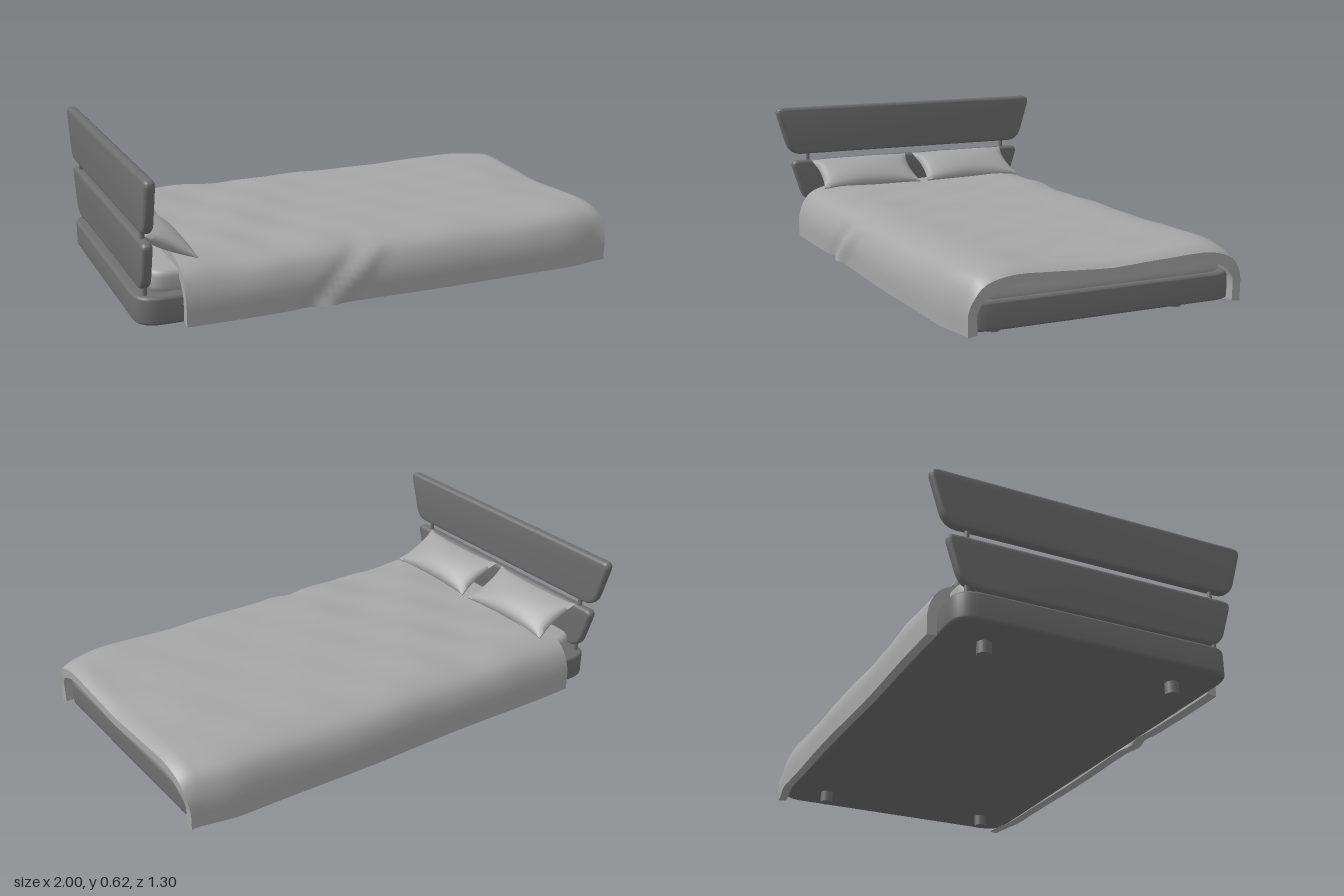
import * as THREE from 'three';
import { toCreasedNormals } from 'three/addons/utils/BufferGeometryUtils.js';

const wood = new THREE.MeshStandardMaterial({ color: 0x6e6e6e });
wood.name = 'dark frame';
const fabric = new THREE.MeshStandardMaterial({ color: 0xa6a6a6 });
fabric.name = 'light fabric';

function addMesh(group, name, geometry, material) {
  const mesh = new THREE.Mesh(geometry, material);
  mesh.name = name;
  group.add(mesh);
  return mesh;
}

// Closed outline with every corner rounded; each corner is [x, y, radius]
function roundedShape(corners) {
  const shape = new THREE.Shape();
  const n = corners.length;
  corners.forEach(([x, y, r], i) => {
    const toward = ([tx, ty]) => {
      const d = Math.hypot(tx - x, ty - y);
      return [x + ((tx - x) * r) / d, y + ((ty - y) * r) / d];
    };
    const a = toward(corners[(i + n - 1) % n]);
    const b = toward(corners[(i + 1) % n]);
    if (i === 0) shape.moveTo(...a);
    else shape.lineTo(...a);
    shape.quadraticCurveTo(x, y, ...b);
  });
  shape.closePath();
  return shape;
}

// Slab with softened edges, from z = 0 to z = thickness
function slab(corners, thickness, bevel) {
  const geo = new THREE.ExtrudeGeometry(roundedShape(corners), {
    depth: thickness - 2 * bevel, bevelSize: bevel, bevelThickness: bevel,
    bevelOffset: -bevel, bevelSegments: 4, curveSegments: 10,
  });
  geo.translate(0, 0, bevel);
  return toCreasedNormals(geo, 0.7);
}

// Horizontal slab between two x values, with its underside at y
function flatSlab(x0, x1, halfZ, y, height, radius, bevel) {
  const geo = slab([[x0, -halfZ, radius], [x1, -halfZ, radius], [x1, halfZ, radius], [x0, halfZ, radius]], height, bevel);
  return geo.rotateX(-Math.PI / 2).translate(0, y, 0);
}

// Upright headboard panel, wider at the top
function panel(y0, y1, bottom, top) {
  const geo = slab([[-bottom, y0, 0.06], [bottom, y0, 0.06], [top, y1, 0.04], [-top, y1, 0.04]], 0.04, 0.014);
  return geo.rotateY(Math.PI / 2).translate(-0.98, 0, 0);
}

// Smooth curve through [position, value] pairs
const profile = (points) => new THREE.CatmullRomCurve3(points.map(([a, b]) => new THREE.Vector3(a, b, 0)), false, 'centripetal');
const bump = (d, width) => Math.exp(-((d / width) ** 2));

// Draped cover: a thick arched section swept from head to foot
function coverGeometry() {
  const outer = profile([[0, 0.265], [0.25, 0.265], [0.45, 0.263], [0.545, 0.228], [0.588, 0.15], [0.593, 0.042]]);
  const inner = profile([[0, 0.228], [0.25, 0.23], [0.43, 0.23], [0.51, 0.2], [0.552, 0.14], [0.555, 0.046]]);
  const half = 20, n = 2 * half, ring = 2 * (n + 1), steps = 90;
  const section = [];
  for (const [curve, dir] of [[outer, 1], [inner, -1]]) {
    for (let j = -half; j <= half; j++) {
      const p = curve.getPoint(Math.abs(j) / half);
      section.push([-Math.sign(j) * dir * p.x, p.y]);
    }
  }
  const pos = [], index = [];
  for (let i = 0; i <= steps; i++) {
    const t = i / steps;
    const x = -0.83 + 1.83 * (1 - (1 - t) ** 1.25);
    const end = THREE.MathUtils.smoothstep(x, 0.7, 1);
    const edgeDrop = 0.02 * Math.max(0, (x - 0.94) / 0.06) ** 2;
    for (const [sz, sy] of section) {
      const upper = THREE.MathUtils.smoothstep(sy, 0.1, 0.22);
      const across = Math.abs(sz) / 0.6;
      // Raised corners near the foot, a soft hollow in the middle
      let y = sy + upper * (0.014 * bump(x - 0.78, 0.2) * across - 0.012 * end * (1 - across) - edgeDrop);
      // Gentle wrinkles, stronger near the head
      const strength = 0.0018 + 0.0025 * bump(x + 0.5, 0.4);
      y += upper * strength * (Math.sin(11 * x + 9 * sz) + Math.sin(23 * x - 13 * sz + 1) * 0.6);
      let z = sz * (1 - 0.06 * end * end + 0.006 * Math.sin(7 * x));
      // Diagonal fold on the left side
      if (sz > 0.4) {
        const d = x + 0.05 + (0.24 - sy) * 1.1;
        z += 0.014 * (bump(d, 0.045) - 0.7 * bump(d + 0.09, 0.04)) * (sy < 0.25 ? 1 : 0.4);
      }
      pos.push(x - 0.012 * end * (1 - upper), y, z);
    }
  }
  for (let i = 0; i < steps; i++) {
    for (let j = 0; j < ring; j++) {
      const a = i * ring + j, b = i * ring + ((j + 1) % ring);
      index.push(a, a + ring, b, b, a + ring, b + ring);
    }
  }
  // Hems closing the head and foot ends
  const last = steps * ring;
  for (let j = 0; j < n; j++) {
    const o = j, o2 = j + 1, k = ring - 1 - j, k2 = ring - 2 - j;
    index.push(o, o2, k, k, o2, k2);
    index.push(last + o, last + k, last + o2, last + k, last + k2, last + o2);
  }
  const geo = new THREE.BufferGeometry();
  geo.setAttribute('position', new THREE.Float32BufferAttribute(pos, 3));
  geo.setIndex(index);
  return toCreasedNormals(geo, 0.8);
}

// Plump cushion with pulled-in edges and pointed corners
function pillowGeometry() {
  const geo = new THREE.BoxGeometry(2, 2, 2, 20, 1, 28);
  const p = geo.attributes.position;
  for (let i = 0; i < p.count; i++) {
    const u = p.getX(i), v = p.getZ(i), side = p.getY(i);
    const fill = Math.max(0, (1 - u * u) * (1 - v * v));
    const h = 0.003 + 0.042 * fill ** 0.55;
    p.setXYZ(i, 0.112 * u * (1 - 0.1 * (1 - v * v)), side * h, 0.237 * v * (1 - 0.07 * (1 - u * u)));
  }
  return toCreasedNormals(geo, 1);
}

export function createModel() {
  const bed = new THREE.Group();
  bed.name = 'bed';

  addMesh(bed, 'base', flatSlab(-1, 0.97, 0.555, 0.047, 0.108, 0.1, 0.012), wood);
  addMesh(bed, 'mattress', flatSlab(-0.94, 0.96, 0.51, 0.15, 0.088, 0.08, 0.025), fabric);

  // Feet
  for (const x of [-0.845, 0.81]) {
    for (const z of [-0.385, 0.385]) {
      addMesh(bed, 'foot', new THREE.CylinderGeometry(0.027, 0.027, 0.055, 24), wood).position.set(x, 0.0275, z);
    }
  }

  // Headboard
  const headboard = new THREE.Group();
  headboard.name = 'headboard';
  bed.add(headboard);
  addMesh(headboard, 'upperPanel', panel(0.402, 0.622, 0.595, 0.66), wood);
  addMesh(headboard, 'lowerPanel', panel(0.175, 0.373, 0.53, 0.592), wood);
  for (const z of [-0.505, 0.505]) {
    addMesh(headboard, 'post', new THREE.CylinderGeometry(0.009, 0.009, 0.3, 16), wood).position.set(-0.96, 0.28, z);
  }

  // Bedding
  addMesh(bed, 'cover', coverGeometry(), fabric);
  const pillow = pillowGeometry();
  for (const z of [-0.255, 0.255]) {
    const mesh = addMesh(bed, 'pillow', pillow, fabric);
    mesh.position.set(-0.85, 0.318, z);
    mesh.rotation.z = -0.48;
  }
  return bed;
}
